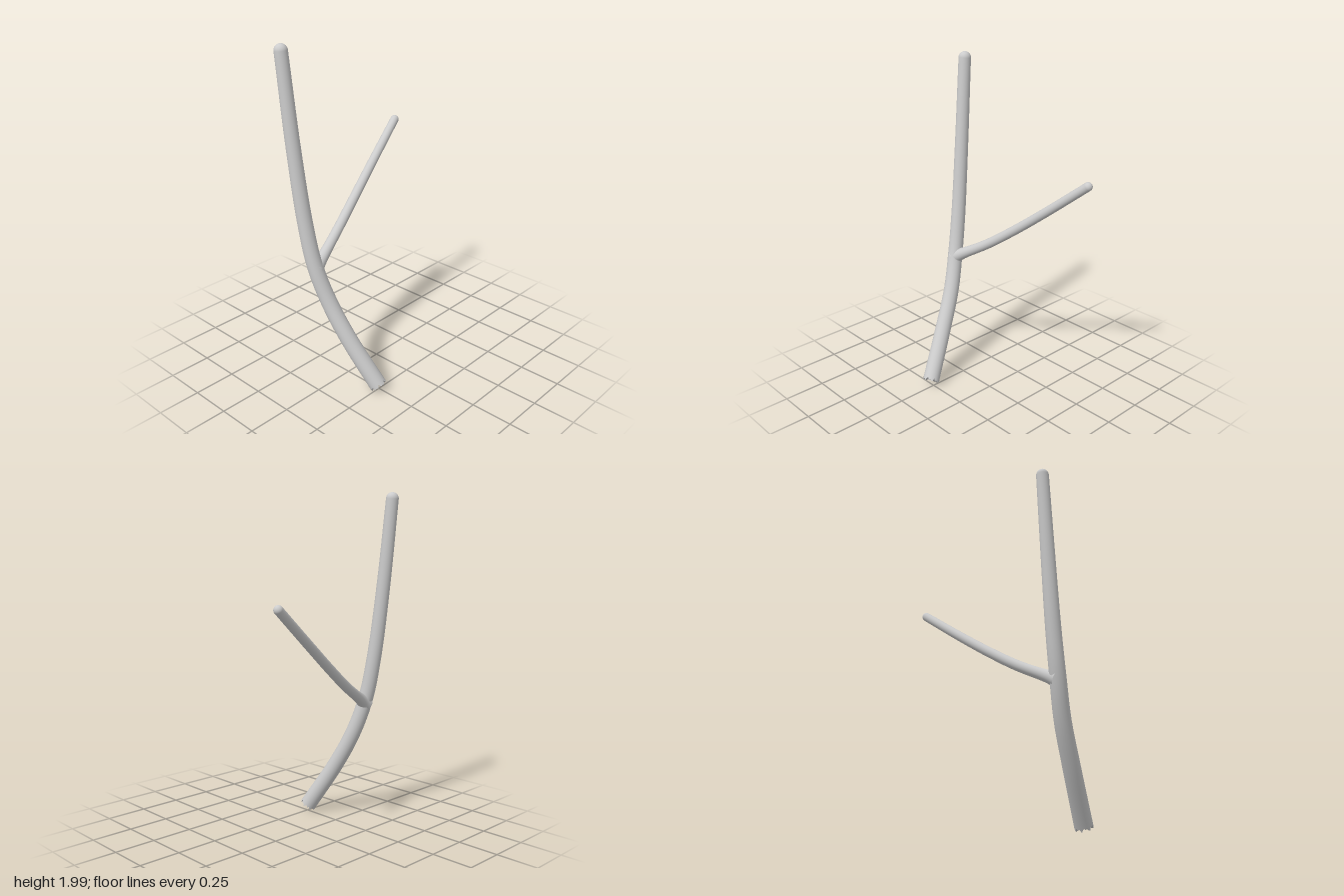
import * as THREE from 'three';

const SIDES = 40;
const material = new THREE.MeshStandardMaterial({ color: 0xcccccc, side: THREE.DoubleSide });
const curveOf = (points) => new THREE.CatmullRomCurve3(points.map((p) => new THREE.Vector3(...p)));

function indexedMesh(name, positions, index) {
  const geometry = new THREE.BufferGeometry();
  geometry.setAttribute('position', new THREE.Float32BufferAttribute(positions, 3));
  geometry.setIndex(index);
  geometry.computeVertexNormals();
  const mesh = new THREE.Mesh(geometry, material);
  mesh.name = name;
  return mesh;
}

// Tapered limb along a curve with a rounded tip; jag(k) shifts the first ring along the axis
function limb(name, curve, radiusAt, jag = () => 0) {
  const steps = 60, capSteps = 10;
  const { tangents, normals, binormals } = curve.computeFrenetFrames(steps, false);
  const positions = [], index = [];
  const ring = (s, radius, shift) => {
    const centre = curve.getPointAt(s / steps);
    for (let k = 0; k < SIDES; k++) {
      const a = (k / SIDES) * Math.PI * 2;
      const p = centre.clone()
        .addScaledVector(normals[s], Math.cos(a) * radius)
        .addScaledVector(binormals[s], Math.sin(a) * radius)
        .addScaledVector(tangents[s], shift(k));
      positions.push(p.x, p.y, p.z);
    }
  };
  for (let s = 0; s <= steps; s++) ring(s, radiusAt(s / steps), s === 0 ? jag : () => 0);
  for (let c = 1; c <= capSteps; c++) {
    const a = (c / capSteps) * Math.PI / 2, r = radiusAt(1);
    ring(steps, Math.max(r * Math.cos(a), 1e-5), () => r * Math.sin(a));
  }
  for (let s = 0; s < steps + capSteps; s++) {
    for (let k = 0; k < SIDES; k++) {
      const a = s * SIDES + k, b = s * SIDES + (k + 1) % SIDES;
      index.push(a, b, a + SIDES, b, b + SIDES, a + SIDES);
    }
  }
  return indexedMesh(name, positions, index);
}

export function createModel() {
  const group = new THREE.Group();
  group.name = 'forkedBranch';

  // Main stem, bent back and leaning, with a splintered foot
  const stemCurve = curveOf([
    [-0.265, 0.045, 0.255], [-0.335, 0.32, 0.09], [-0.378, 0.54, -0.02], [-0.414, 0.76, -0.09],
    [-0.433, 1.02, -0.138], [-0.451, 1.45, -0.188], [-0.465, 1.963, -0.235],
  ]);
  const jag = (k) => 0.008 * Math.sin(k * 2.3) + 0.006 * Math.sin(k * 1.1 + 1);
  const stem = limb('mainStem', stemCurve, (t) => 0.051 - 0.014 * t, jag);
  group.add(stem);

  // Broken face closing the foot
  const rim = Array.from(stem.geometry.attributes.position.array.slice(0, SIDES * 3));
  const centre = stemCurve.getPointAt(0);
  const faces = [];
  for (let k = 0; k < SIDES; k++) faces.push(SIDES, (k + 1) % SIDES, k);
  group.add(indexedMesh('brokenEnd', [...rim, centre.x, centre.y, centre.z], faces));

  // Side twig, flared where it leaves the stem
  const twigCurve = curveOf([
    [-0.415, 0.742, -0.088], [-0.35, 0.778, -0.102], [-0.18, 0.878, -0.148],
    [0, 1.005, -0.192], [0.2, 1.158, -0.235], [0.476, 1.378, -0.286],
  ]);
  group.add(limb('sideTwig', twigCurve, (t) => 0.031 - 0.005 * t + 0.02 * Math.exp(-t * 22)));

  return group;
}
